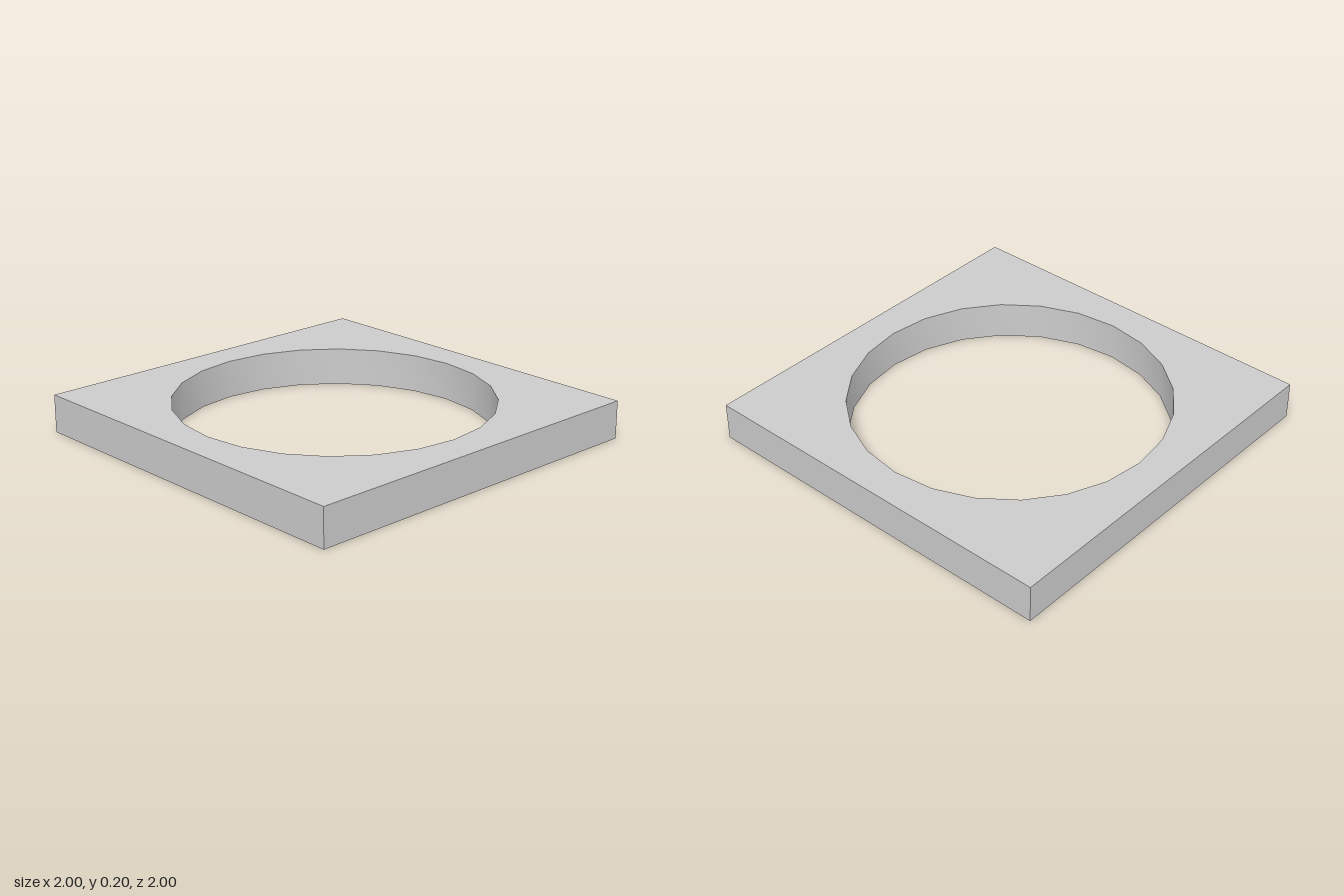
import * as THREE from 'three';
import { toCreasedNormals } from 'three/addons/utils/BufferGeometryUtils.js';

const HALF = 1, HEIGHT = 0.2, HOLE_RADIUS = 0.82, HOLE_SIDES = 24;

export function createModel() {
  const group = new THREE.Group();
  group.name = 'squareRing';

  // Square outline
  const outline = new THREE.Shape([
    new THREE.Vector2(-HALF, -HALF),
    new THREE.Vector2(HALF, -HALF),
    new THREE.Vector2(HALF, HALF),
    new THREE.Vector2(-HALF, HALF),
  ]);

  // Round opening with 24 sides
  const rim = [];
  for (let i = 0; i < HOLE_SIDES; i++) {
    const a = (-i / HOLE_SIDES) * Math.PI * 2;
    rim.push(new THREE.Vector2(Math.cos(a) * HOLE_RADIUS, Math.sin(a) * HOLE_RADIUS));
  }
  outline.holes.push(new THREE.Path(rim));

  // Plate laid flat, with a smooth inner wall and sharp outer edges
  const geometry = new THREE.ExtrudeGeometry(outline, { depth: HEIGHT, bevelEnabled: false });
  geometry.rotateX(-Math.PI / 2);
  const plate = new THREE.Mesh(
    toCreasedNormals(geometry, Math.PI / 6),
    new THREE.MeshStandardMaterial({ color: 0xcccccc })
  );
  plate.name = 'plate';
  group.add(plate);

  return group;
}
